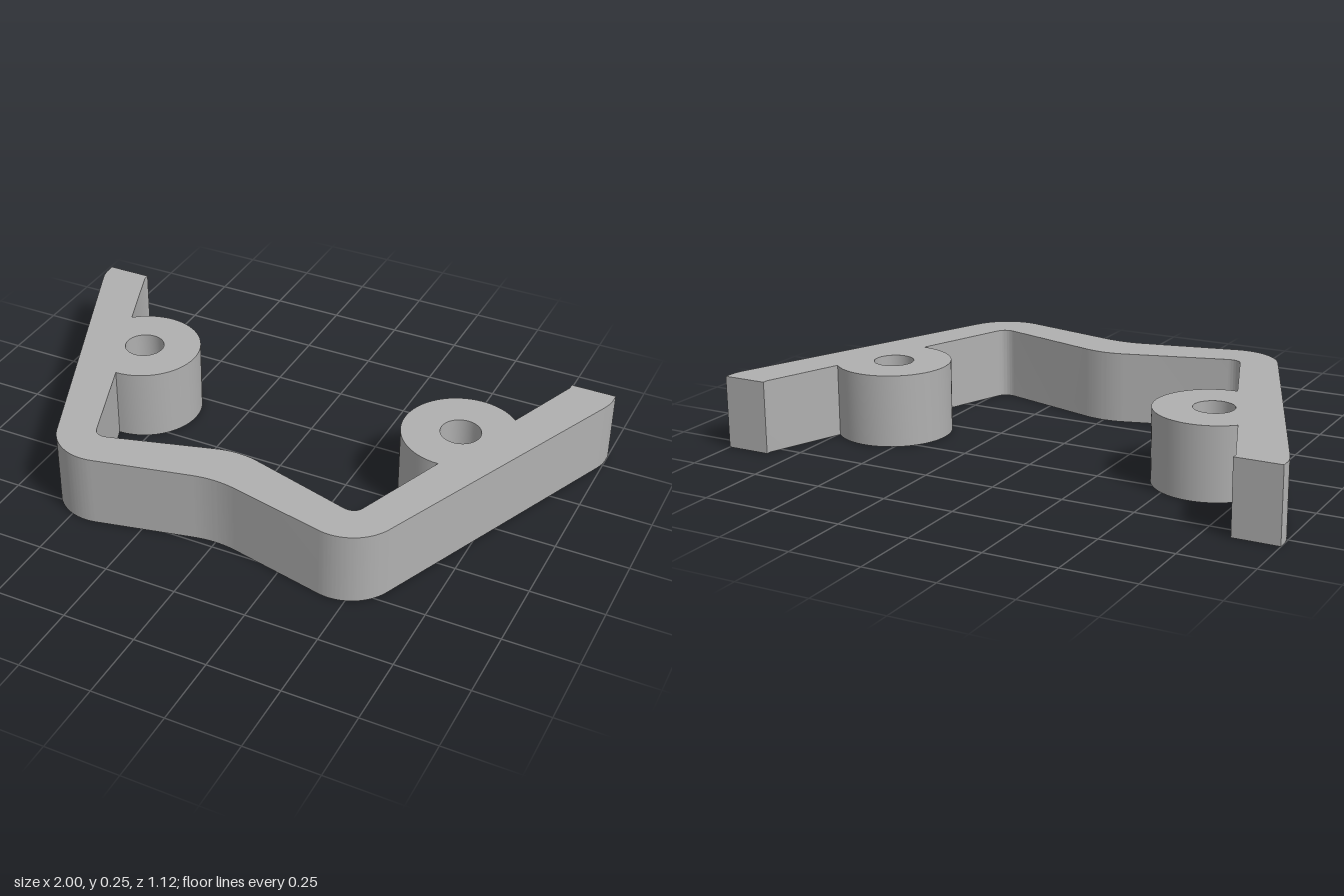
import * as THREE from 'three';
import { toCreasedNormals } from 'three/addons/utils/BufferGeometryUtils.js';

const HEIGHT = 0.252;
const BOSS = { x: 0.604, y: 0.128, radius: 0.2, hole: 0.069 };

// Left half of the plan outline, from the outer centre round to the inner centre (shape y = -z)
function halfOutline() {
  const p = new THREE.Path();
  p.moveTo(0, -0.474);
  p.quadraticCurveTo(0.04, -0.474, 0.08, -0.483);
  p.absarc(0.444, -0.39, 0.17, -1.782, -0.395, false); // rounded outer corner
  p.lineTo(0.985, 0.47);
  p.quadraticCurveTo(1, 0.506, 1, 0.535); // rounded arm tip
  p.lineTo(1, 0.56);
  p.lineTo(0.843, 0.56);
  p.lineTo(0.843, 0.54);
  p.lineTo(0.743, 0.273);
  p.absarc(BOSS.x, BOSS.y, BOSS.radius, 0.806, Math.PI * 1.5, false); // screw boss
  p.lineTo(0.484, -0.395);
  p.bezierCurveTo(0.476, -0.417, 0.455, -0.426, 0.43, -0.42); // inner corner
  p.lineTo(0.08, -0.32);
  p.quadraticCurveTo(0.04, -0.308, 0, -0.308);
  return p.getPoints(20);
}

export function createModel() {
  const group = new THREE.Group();
  group.name = 'bracket';
  const grey = new THREE.MeshStandardMaterial({ color: 0xb0b0b0 });
  grey.name = 'grey';

  // Mirror the half outline to close the shape
  const half = halfOutline();
  const mirrored = half.slice(1, -1).reverse().map((v) => new THREE.Vector2(-v.x, v.y));
  const shape = new THREE.Shape([...half, ...mirrored]);

  // Screw holes
  for (const side of [1, -1]) {
    const hole = new THREE.Path();
    hole.absarc(side * BOSS.x, BOSS.y, BOSS.hole, 0, Math.PI * 2, true);
    shape.holes.push(hole);
  }

  const geometry = new THREE.ExtrudeGeometry(shape, {
    depth: HEIGHT, bevelEnabled: false, curveSegments: 20,
  });
  geometry.rotateX(-Math.PI / 2);
  const body = new THREE.Mesh(toCreasedNormals(geometry, 0.5), grey);
  body.name = 'bracketBody';
  group.add(body);
  return group;
}
